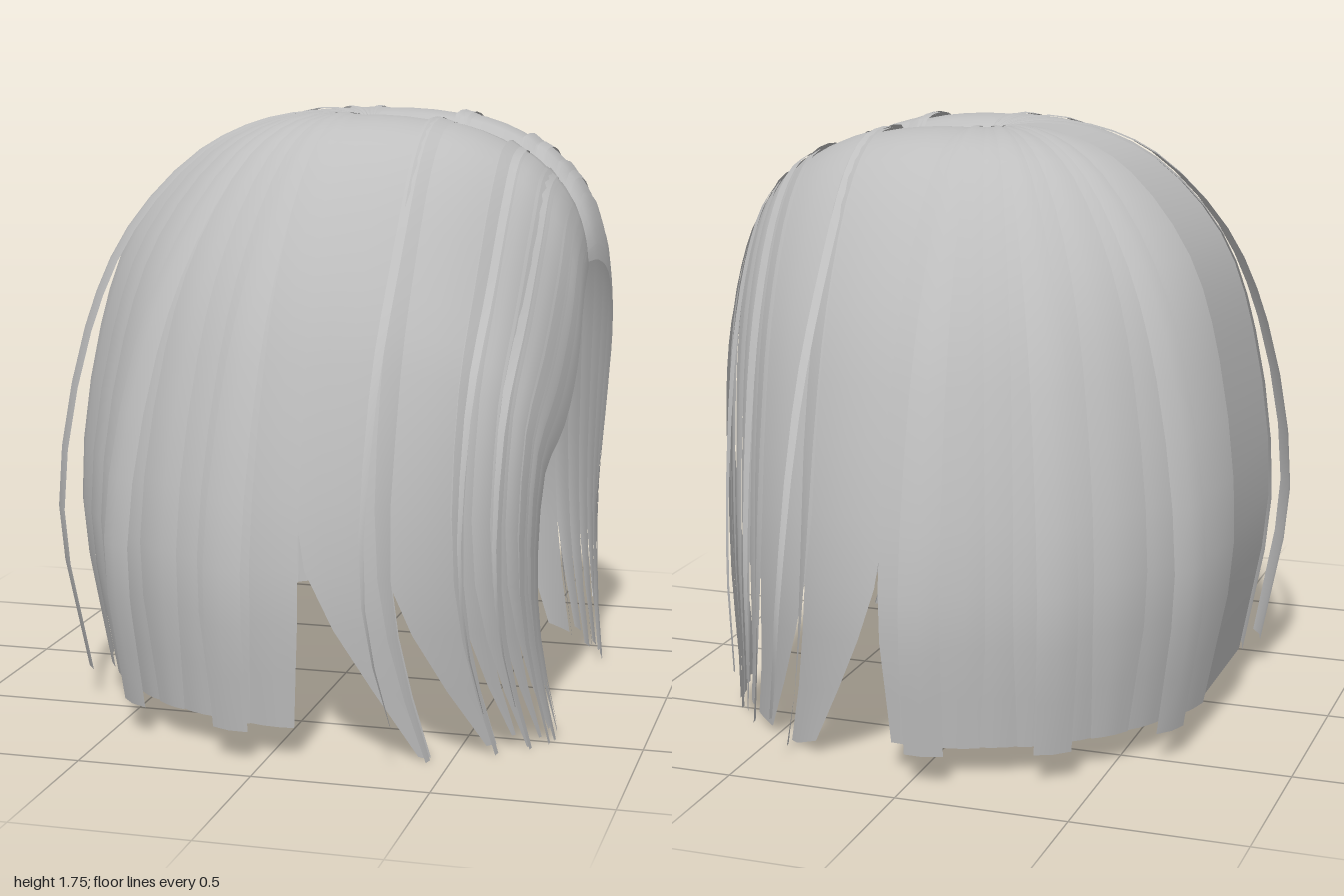
import * as THREE from 'three';

const hair = new THREE.MeshStandardMaterial({ color: 0xbfbfbf, side: THREE.DoubleSide });
hair.name = 'hair grey';

const curve = pts => new THREE.CatmullRomCurve3(pts.map(([r, y]) => new THREE.Vector3(r, y, 0)));
const { lerp, smoothstep } = THREE.MathUtils;
const CROWN_X = 0.08;

// Root-to-tip sections as [distance from parting, height]
const sideSection = curve([[0, 1.74], [0.09, 1.785], [0.29, 1.78], [0.45, 1.69], [0.63, 1.45], [0.76, 1.15], [0.87, 0.6], [0.83, 0.14]]);
const backSection = curve([[0, 1.74], [0.09, 1.785], [0.31, 1.77], [0.51, 1.68], [0.71, 1.46], [0.81, 1.17], [0.865, 0.65], [0.78, 0.14]]);
const faceSection = {
  '-1': curve([[0, 1.36], [0.08, 1.36], [0.19, 1.31], [0.31, 1.15], [0.39, 0.98], [0.435, 0.72], [0.43, 0.45], [0.31, 0.14]]),
  '1': curve([[0, 1.36], [0.1, 1.36], [0.25, 1.3], [0.33, 1.1], [0.42, 0.95], [0.57, 0.84], [0.55, 0.48], [0.43, 0.14]]),
};

// Lift a strand off the head: outward everywhere, upward near the top
const lifted = (r, y, lift) => [r * (1 + lift), y + lift * 0.25 * smoothstep(y, 1.3, 1.8)];

// Point on the back: strands fan out from the crown at an angle
function backPoint(angle, u, lift) {
  const c = Math.cos(angle);
  const p = sideSection.getPoint(u).lerp(backSection.getPoint(u), c * c);
  const [r, y] = lifted(p.x, p.y, lift);
  return [CROWN_X + c * r, y, Math.sin(angle) * r];
}

// Point on the front: strands leave the parting (w = 0 crown, w = 1 forehead)
function frontPoint(side, w, u, lift) {
  const a = sideSection.getPoint(u), b = faceSection[side].getPoint(u);
  const dip = 0.3 * w * (1 - w) * Math.max(0, 1 - u * 7);
  const [r, y] = lifted(lerp(a.x, b.x, w ** 1.25), lerp(a.y, b.y, w * w) - dip, lift);
  const tip = Math.max(0, (u - 0.8) / 0.2) ** 2;
  const x = CROWN_X + 0.65 * (1 - (1 - w) ** 2) + 0.04 * w * Math.sin(u * Math.PI * 1.5);
  const curl = 0.3 * w * (1 - w) * tip;
  return [x + (0.13 - 0.08 * w) * tip, y - 0.09 * Math.min(1, w * 5) * tip, side * (r - curl)];
}

// Sheet of hair from a rule point(u along, v across)
function ribbon(name, point, cols = 3, rows = 21) {
  const pos = [], index = [];
  for (let i = 0; i <= rows; i++) {
    for (let j = 0; j <= cols; j++) {
      pos.push(...point(i / rows, j / cols));
      if (i < rows && j < cols) {
        const a = i * (cols + 1) + j, b = a + cols + 1;
        index.push(a, b, a + 1, b, b + 1, a + 1);
      }
    }
  }
  const g = new THREE.BufferGeometry();
  g.setAttribute('position', new THREE.Float32BufferAttribute(pos, 3));
  g.setIndex(index);
  g.computeVertexNormals();
  const mesh = new THREE.Mesh(g, hair);
  mesh.name = name;
  return mesh;
}

export function createModel() {
  const model = new THREE.Group();
  model.name = 'bobHair';
  const rad = Math.PI / 180;

  // Flat panel at the nape
  model.add(ribbon('napePanel', (u, v) => backPoint(lerp(161, 199, v) * rad, u, 0), 1));

  for (const side of [1, -1]) {
    const label = side > 0 ? 'Left' : 'Right';

    // Overlapping back strands, angles measured from the parting line
    const angles = [90, 99, 107, 115, 122, 130, 138, 148, 162];
    for (let k = 0; k < angles.length - 1; k++) {
      const a0 = angles[k] - 1, a1 = angles[k + 1] + 2;
      model.add(ribbon('backStrand' + label, (u, v) => {
        const taper = 0.22 * Math.max(0, (u - 0.9) / 0.1);
        const vv = 0.5 + (v - 0.5) * (1 - taper);
        const lift = 0.01 * Math.sin(vv * Math.PI) + (k % 2) * 0.008 * u;
        return backPoint(side * lerp(a0, a1, vv) * rad, u, lift);
      }));
    }

    // Loose locks standing off the back
    for (const a of side > 0 ? [101, 125, 152] : [98, 121, 146]) {
      model.add(ribbon('looseBackLock' + label, (u, v) => {
        const stand = 0.02 + 0.075 * smoothstep(u, 0.3, 0.9);
        return backPoint(side * (a + (v - 0.5) * 7) * rad, u, stand + 0.01 * Math.sin(v * Math.PI));
      }, 2));
    }

    // Shingled front locks, broad at the sides, with swept tips
    const edges = [0, 0.2, 0.42, 0.5, 0.58, 0.66, 0.74, 0.82, 0.91, 1];
    const point = side > 0 ? 0.85 : 0.5;
    for (let k = 0; k < edges.length - 1; k++) {
      const w0 = edges[k], w1 = Math.min(1, edges[k + 1] + 0.03);
      model.add(ribbon('frontLock' + label, (u, v) => {
        const vv = lerp(v, 0.95, point * Math.max(0, (u - 0.82) / 0.18) ** 1.4);
        const shingle = 0.035 * (1 - vv) * Math.min(1, w0 * 5);
        const p = frontPoint(side, lerp(w0, w1, vv), u, shingle + 0.01 * Math.sin(vv * Math.PI));
        p[1] += (k % 3) * 0.02 * u ** 8;
        return p;
      }, 4));
    }

    // Narrow strands lying over the seams between the locks
    for (const w of [0.22, 0.45, 0.62, 0.78, 0.9]) {
      model.add(ribbon('seamStrand' + label, (u, v) => {
        const width = 0.045 * (1 - 0.85 * Math.max(0, (u - 0.75) / 0.25));
        return frontPoint(side, w + (v - 0.5) * width, u, 0.035 + 0.03 * (1 - v));
      }, 2));
    }

    // Stray locks arching away from the sides: [position, width, stand-off]
    const strays = side > 0
      ? [[0.2, 0.025, 0.235], [0.48, 0.03, 0.16], [0.62, 0.04, 0.1]]
      : [[0.22, 0.025, 0.25], [0.5, 0.04, 0.08], [0.66, 0.04, 0.13]];
    for (const [w, width, stand] of strays) {
      model.add(ribbon('strayLock' + label, (t, v) => {
        const u = t * 0.96;
        const taper = 1 - 0.9 * Math.max(0, (u - 0.7) / 0.3);
        const lift = 0.05 + (stand - 0.05) * smoothstep(u, 0.45, 0.9);
        return frontPoint(side, w + (v - 0.5) * width * taper, u, lift + 0.015 * v);
      }, 1));
    }
  }
  return model;
}
